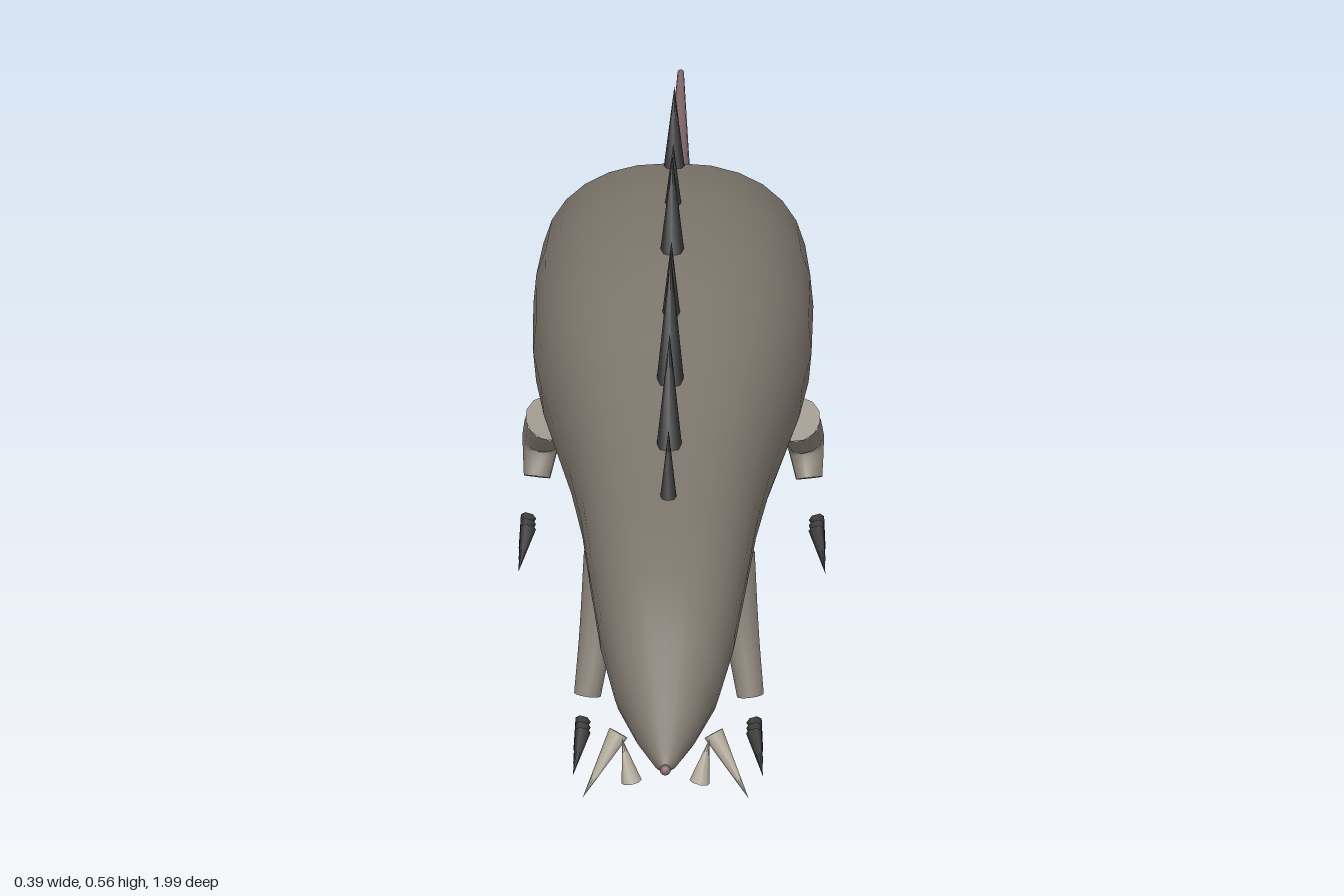
import * as THREE from 'three';

const mat = (name, color, double = false) => {
  const m = new THREE.MeshStandardMaterial({ color });
  m.name = name;
  if (double) m.side = THREE.DoubleSide;
  return m;
};
const V = (x, y, z) => new THREE.Vector3(x, y, z);

// Skin over rounded sections [z, bottom, top, halfWidth], listed from rear to front.
function bodyGeometry(sections, sides = 28) {
  const pos = [], idx = [];
  const round = (v) => Math.sign(v) * Math.pow(Math.abs(v), 0.86);
  sections.forEach(([z, bottom, top, w], i) => {
    for (let j = 0; j < sides; j++) {
      const a = (j / sides) * Math.PI * 2;
      pos.push(w * round(Math.cos(a)),
        (top + bottom) / 2 + ((top - bottom) / 2) * round(Math.sin(a)), z);
      if (i === sections.length - 1) continue;
      const p = i * sides + j, q = i * sides + (j + 1) % sides;
      idx.push(p, q, p + sides, q, q + sides, p + sides);
    }
  });
  const g = new THREE.BufferGeometry();
  g.setAttribute('position', new THREE.Float32BufferAttribute(pos, 3));
  g.setIndex(idx);
  g.computeVertexNormals();
  return g;
}

// Tube whose radius follows a list of values, closed with a disc at both ends.
function taperedTube(name, points, radii, material, segments = 8, sides = 12) {
  const group = new THREE.Group();
  group.name = name;
  const path = new THREE.CatmullRomCurve3(points);
  const g = new THREE.TubeGeometry(path, segments, 1, sides);
  const p = g.attributes.position, v = V(0, 0, 0);
  for (let i = 0; i < p.count; i++) {
    const u = Math.floor(i / (sides + 1)) / segments;
    const c = path.getPointAt(u), f = u * (radii.length - 1);
    const k = Math.min(Math.floor(f), radii.length - 2);
    const r = THREE.MathUtils.lerp(radii[k], radii[k + 1], f - k);
    v.fromBufferAttribute(p, i).sub(c).multiplyScalar(r).add(c);
    p.setXYZ(i, v.x, v.y, v.z);
  }
  g.computeVertexNormals();
  const tube = new THREE.Mesh(g, material);
  tube.name = name + 'Tube';
  group.add(tube);
  for (const end of [0, 1]) {
    const cap = new THREE.Mesh(
      new THREE.CircleGeometry(radii[end ? radii.length - 1 : 0], sides), material);
    cap.name = name + 'End';
    cap.position.copy(path.getPointAt(end));
    const t = path.getTangentAt(end).multiplyScalar(end ? 1 : -1);
    cap.lookAt(cap.position.clone().add(t));
    group.add(cap);
  }
  return group;
}

// Cone from the centre of its base to its tip.
function spike(name, base, tip, radius, material, sides = 8) {
  const dir = tip.clone().sub(base);
  const m = new THREE.Mesh(new THREE.ConeGeometry(radius, dir.length(), sides), material);
  m.name = name;
  m.position.copy(base).add(tip).multiplyScalar(0.5);
  m.quaternion.setFromUnitVectors(V(0, 1, 0), dir.normalize());
  return m;
}

export function createModel() {
  const hide = mat('hide', 0x7d766c);
  const limb = mat('limb skin', 0x8a8378);
  const pink = mat('tail skin', 0x80666a);
  const dark = mat('dark horn', 0x363636);
  const bone = mat('bone', 0xb4ac9d);
  const model = new THREE.Group();
  model.name = 'spinyCreature';

  // Body and head
  const body = new THREE.Mesh(bodyGeometry([
    [-0.262, 0.215, 0.215, 0], [-0.236, 0.078, 0.365, 0.153], [-0.215, 0.08, 0.388, 0.162],
    [-0.165, 0.092, 0.42, 0.169], [-0.05, 0.118, 0.441, 0.177], [0.08, 0.13, 0.446, 0.176],
    [0.17, 0.139, 0.438, 0.165], [0.27, 0.15, 0.422, 0.146], [0.37, 0.164, 0.402, 0.127],
    [0.48, 0.177, 0.387, 0.112], [0.6, 0.182, 0.376, 0.101], [0.74, 0.178, 0.36, 0.086],
    [0.83, 0.175, 0.313, 0.067], [0.91, 0.189, 0.264, 0.04], [0.97, 0.203, 0.23, 0.015],
    [0.992, 0.213, 0.213, 0],
  ]), hide);
  body.name = 'body';
  model.add(body);

  // Nose
  const nose = new THREE.Mesh(new THREE.SphereGeometry(0.007, 10, 8), pink);
  nose.name = 'nose';
  nose.position.set(0, 0.215, 0.988);
  model.add(nose);

  // Tail
  model.add(taperedTube('tail',
    [V(0, 0.23, -0.22), V(0, 0.19, -0.31), V(0, 0.072, -0.53), V(0, 0.047, -0.715), V(0, 0.055, -1)],
    [0.034, 0.028, 0.022, 0.013, 0.004], pink, 9));

  // Back spines: base z, base y, tip z, tip y, radius
  [
    [0.585, 0.37, 0.564, 0.463, 0.011], [0.475, 0.377, 0.425, 0.521, 0.017],
    [0.345, 0.397, 0.29, 0.56, 0.018], [0.22, 0.422, 0.195, 0.521, 0.012],
    [0.09, 0.435, 0.05, 0.56, 0.016], [-0.03, 0.435, -0.055, 0.515, 0.011],
    [-0.155, 0.413, -0.185, 0.521, 0.014],
  ].forEach(([z, y, tz, ty, r], i) =>
    model.add(spike('backSpine' + (i + 1), V(0, y, z), V(0, ty, tz), r, dark)));

  for (const s of [1, -1]) {
    const side = s > 0 ? 'left' : 'right';
    // Legs
    model.add(taperedTube(side + 'FrontLeg',
      [V(s * 0.082, 0.222, 0.463), V(s * 0.092, 0.12, 0.487), V(s * 0.103, 0.043, 0.515)],
      [0.026, 0.022, 0.017], limb));
    model.add(taperedTube(side + 'HindLeg',
      [V(s * 0.156, 0.142, 0.0), V(s * 0.167, 0.082, -0.042), V(s * 0.172, 0.045, -0.018)],
      [0.031, 0.026, 0.017], limb));

    // Claws, three in front of each foot
    for (const [foot, x, z] of [['Front', 0.108, 0.55], ['Hind', 0.182, 0.05]]) {
      for (let i = 0; i < 3; i++) {
        model.add(spike(side + foot + 'Claw' + (i + 1),
          V(s * x, 0.031 + i * 0.002, z + 0.007 + i * 0.017),
          V(s * (x + 0.012), 0.009 - i * 0.0045, z + 0.048 + i * 0.022), 0.01, dark, 6));
      }
    }

    // Tusks beside the snout
    model.add(spike(side + 'OuterTusk',
      V(s * 0.06, 0.217, 0.9), V(s * 0.105, 0.145, 0.94), 0.013, bone));
    model.add(spike(side + 'InnerTusk',
      V(s * 0.043, 0.167, 0.936), V(s * 0.055, 0.223, 0.925), 0.013, bone));
  }
  return model;
}
